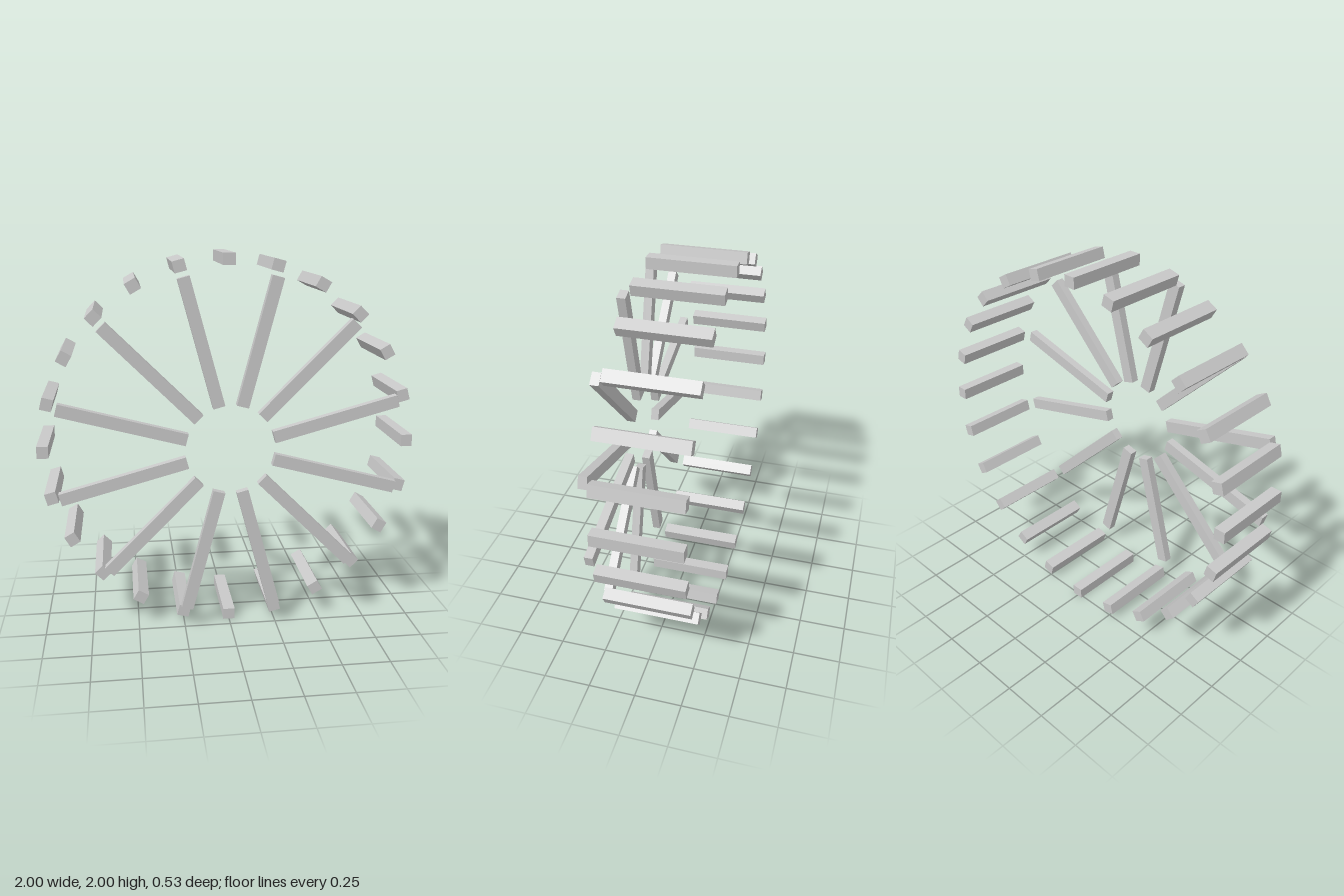
import * as THREE from 'three';

export function createModel() {
  const group = new THREE.Group();
  const grey = new THREE.MeshStandardMaterial({ color: 0xc8c8c8 });
  grey.name = 'lightGrey';

  // Places a bar at a given radius and angle around the wheel axis (z).
  function addBar(name, geometry, angle, radius, z) {
    const bar = new THREE.Mesh(geometry, grey);
    bar.name = name;
    bar.position.set(Math.cos(angle) * radius, 1 + Math.sin(angle) * radius, z);
    bar.rotation.z = angle;
    group.add(bar);
  }

  // Rim: 24 square bars running along the axis
  const rimGeometry = new THREE.BoxGeometry(0.06, 0.064, 0.455);
  for (let i = 0; i < 24; i++) {
    addBar('rimBar', rimGeometry, (i * Math.PI) / 12, 0.97, -0.0375);
  }

  // Spokes: 12 flat radial bars in front of the rim, open at the hub
  const inner = 0.236, outer = 0.918;
  const spokeGeometry = new THREE.BoxGeometry(outer - inner, 0.064, 0.045);
  for (let i = 0; i < 12; i++) {
    addBar('spoke', spokeGeometry, ((i + 0.5) * Math.PI) / 6, (inner + outer) / 2, 0.2425);
  }

  return group;
}
